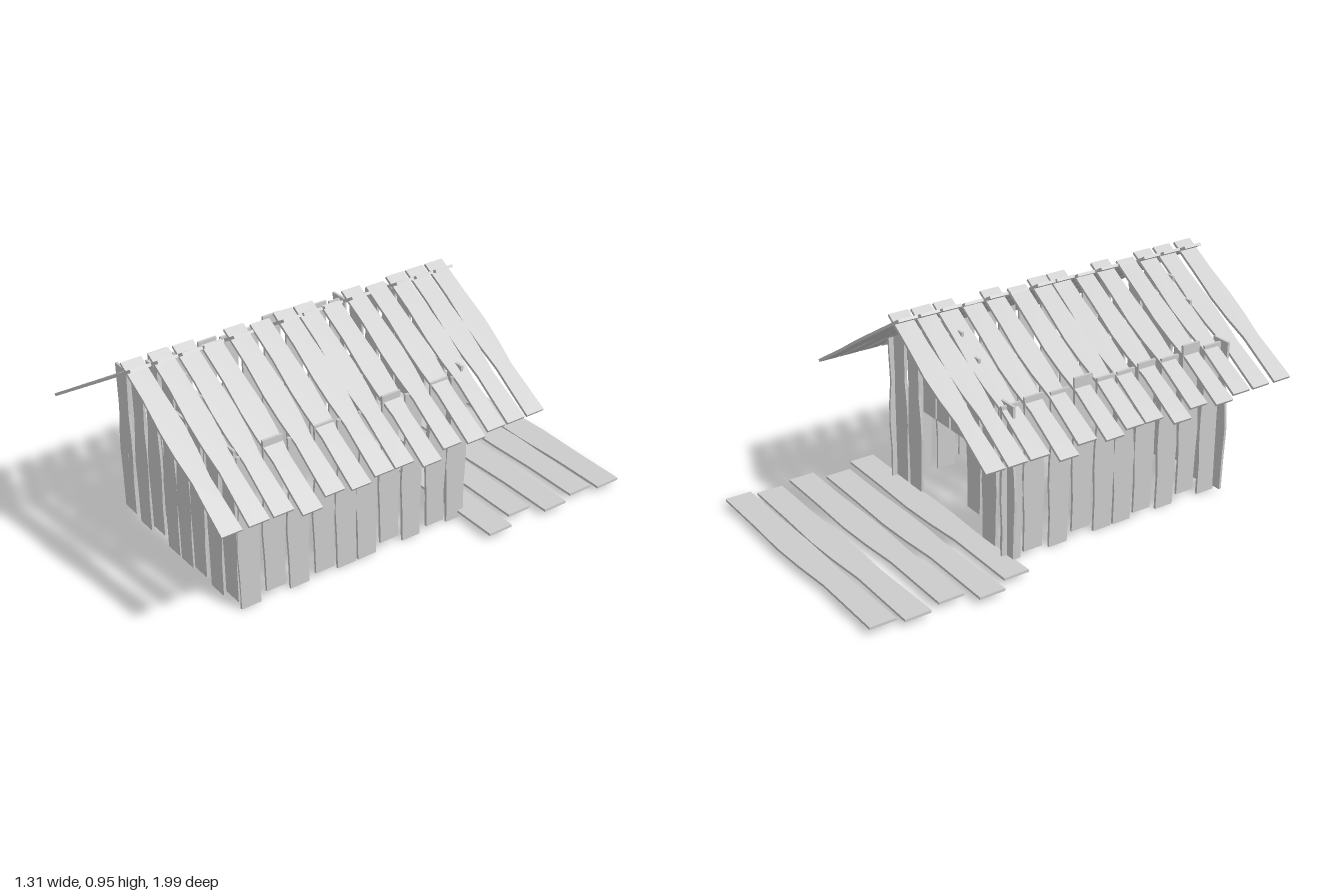
import * as THREE from 'three';

const material = new THREE.MeshStandardMaterial({ color: 0xcccccc, flatShading: true });

// A warped plank standing along +y from its base, centred on x and z
function plank(name, length, width, thickness, warp = 1) {
  const rows = [[0, 0, 0], [0.22, -0.004, -0.003], [0.41, -0.011, 0.003], [0.55, -0.006, 0.001],
    [0.7, 0.006, -0.007], [0.85, 0.003, -0.003], [1, 0, 0]];
  const h = width / 2;
  const left = rows.map(([t, l]) => new THREE.Vector2(-h + l * warp, t * length));
  const right = rows.map(([t, , r]) => new THREE.Vector2(h + r * warp, t * length));
  const shape = new THREE.Shape([...right, ...left.reverse()]);
  const geometry = new THREE.ExtrudeGeometry(shape, { depth: thickness, bevelEnabled: false });
  geometry.translate(0, 0, -thickness / 2);
  const mesh = new THREE.Mesh(geometry, material);
  mesh.name = name;
  return mesh;
}

export function createModel() {
  const model = new THREE.Group();
  const group = (name) => {
    const g = new THREE.Group();
    g.name = name;
    model.add(g);
    return g;
  };

  // Upright wall board from y0 to y1
  const upright = (parent, name, x, z, y0, y1, turn = 0) => {
    const board = plank(name, y1 - y0, 0.088, 0.011);
    board.position.set(x, y0, z);
    board.rotation.y = turn;
    parent.add(board);
  };

  // Front wall is full, back wall leaves a doorway: [x, bottom, top]
  const endBoards = [[-0.425, 0.015, 0.69], [-0.302, 0, 0.68], [-0.195, 0.035, 0.71], [-0.08, 0, 0.68],
    [0.02, 0, 0.68], [0.122, 0.015, 0.69], [0.243, 0, 0.68], [0.35, 0.035, 0.71]];
  const gableBoards = [[-0.195, 0.125, 0.8], [-0.08, 0.42, 0.87], [0.02, 0.42, 0.87], [0.122, 0.42, 0.825]];
  const frontWall = group('frontWall');
  const backWall = group('backWall');
  for (const [x, y0, y1] of endBoards) {
    upright(frontWall, 'frontWallBoard', x, 0.783, y0, y1);
    if (x < -0.25 || x > 0.2) upright(backWall, 'backWallBoard', x, -0.28, y0, y1);
  }
  for (const [x, y0, y1] of gableBoards) {
    upright(frontWall, 'frontGableBoard', x, 0.771, y0, y1);
    upright(backWall, 'backGableBoard', x, -0.28, y0, y1);
  }

  // Side walls: [z, bottom, top]
  const sideBoards = [[0.735, 0, 0.68], [0.62, 0.035, 0.71], [0.51, 0, 0.68], [0.39, 0.02, 0.69], [0.285, 0, 0.68],
    [0.185, 0, 0.68], [0.075, 0.035, 0.71], [-0.037, 0, 0.68], [-0.16, 0.02, 0.69], [-0.265, 0, 0.68]];
  for (const [name, x] of [['leftWall', 0.395], ['rightWall', -0.422]]) {
    const wall = group(name);
    for (const [z, y0, y1] of sideBoards) upright(wall, name + 'Board', x, z, y0, y1, Math.PI / 2);
  }

  // Roof boards cross at the ridge; some slide down: [z, right slide, left slide]
  const roofBoards = [[-0.47, 0, 0], [-0.37, 0, 0], [-0.27, 0, 0], [-0.16, 0.04, 0.015], [-0.05, 0, 0],
    [0.07, 0.02, 0.035], [0.18, 0, 0], [0.275, 0, 0], [0.39, 0.04, 0.015], [0.5, 0, 0],
    [0.62, 0.02, 0.035], [0.725, 0, 0], [0.83, 0, 0], [0.945, 0, 0]];
  const pitch = Math.atan2(0.405, 0.66);
  for (const side of [-1, 1]) {
    const name = side > 0 ? 'leftRoof' : 'rightRoof';
    const roof = group(name);
    for (const [z, slideRight, slideLeft] of roofBoards) {
      const slide = side > 0 ? slideLeft : slideRight;
      const down = new THREE.Vector3(side * Math.cos(pitch), -Math.sin(pitch), 0);
      const across = new THREE.Vector3(0, 0, 1);
      const board = plank(name + 'Board', 0.772, 0.087, 0.012);
      board.quaternion.setFromRotationMatrix(
        new THREE.Matrix4().makeBasis(across, down, across.clone().cross(down)));
      board.position.set(-side * 0.037, 0.943, z).addScaledVector(down, slide);
      roof.add(board);
    }
  }

  // Porch floor behind the doorway: [z, start x, end x]
  const porch = group('porchFloor');
  const floorBoards = [[-0.93, -0.565, 0.61], [-0.797, -0.595, 0.583], [-0.632, -0.565, 0.61],
    [-0.487, -0.625, 0.55], [-0.335, -0.565, 0.61]];
  for (const [z, x0, x1] of floorBoards) {
    const board = plank('porchBoard', x1 - x0, 0.115, 0.011);
    const along = new THREE.Vector3(-1, 0, 0);
    const across = new THREE.Vector3(0, 0, 1);
    board.quaternion.setFromRotationMatrix(
      new THREE.Matrix4().makeBasis(across, along, across.clone().cross(along)));
    board.position.set(x1, 0.028, z);
    porch.add(board);
  }
  return model;
}
